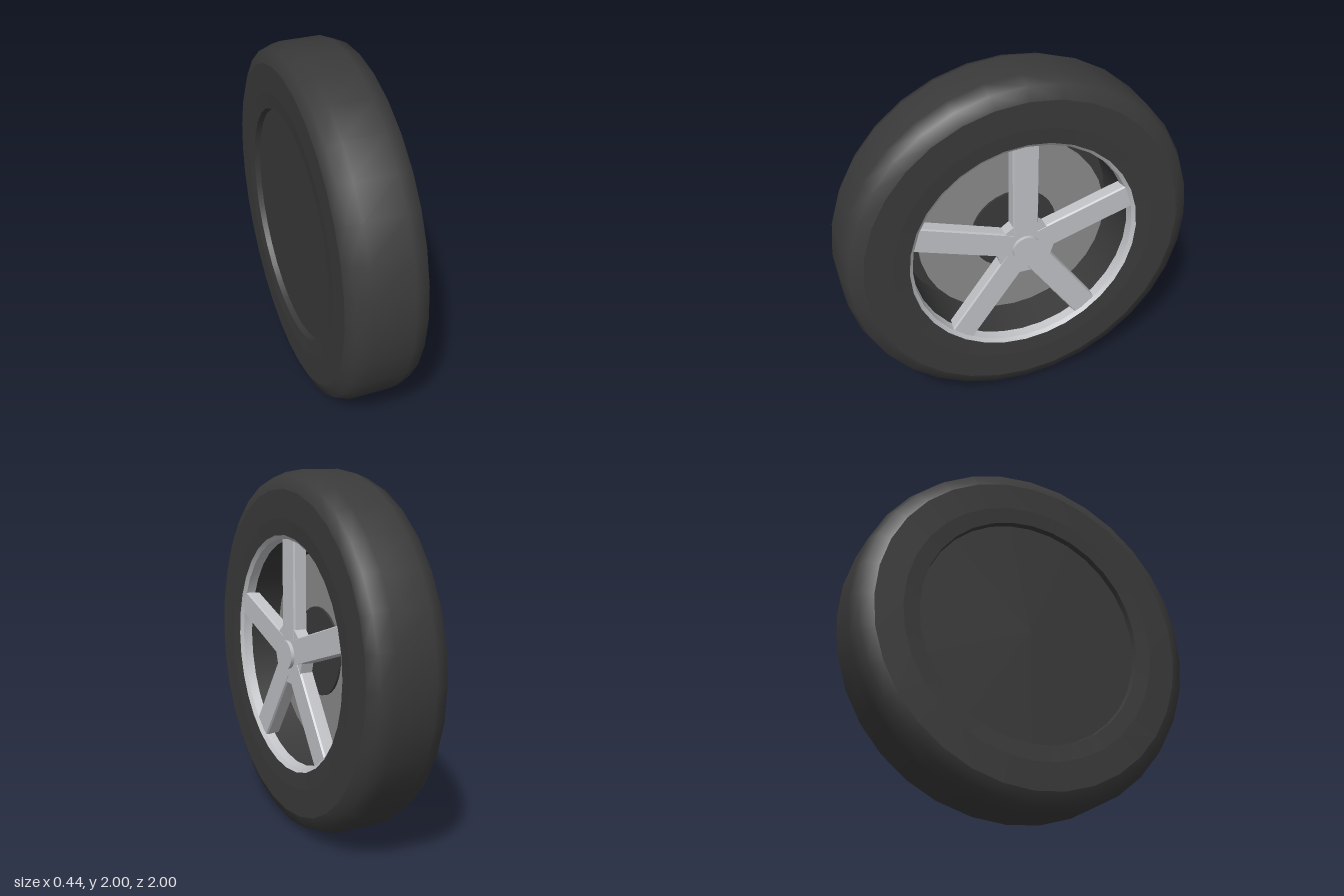
import * as THREE from 'three';
import { toCreasedNormals } from 'three/addons/utils/BufferGeometryUtils.js';

const SEGMENTS = 32;

export function createModel() {
  const wheel = new THREE.Group();
  wheel.name = 'wheel';
  wheel.position.y = 1;

  const rubber = new THREE.MeshStandardMaterial({ color: 0x3a3a3a });
  rubber.name = 'dark rubber';
  const alloy = new THREE.MeshStandardMaterial({ color: 0xc0c1c5 });
  alloy.name = 'silver alloy';
  const steel = new THREE.MeshStandardMaterial({ color: 0x8a8a8a });
  steel.name = 'grey steel';

  const add = (name, geometry, material, parent = wheel) => {
    const mesh = new THREE.Mesh(geometry, material);
    mesh.name = name;
    parent.add(mesh);
    return mesh;
  };

  // Revolve [x, radius] pairs about the axle (x axis)
  const revolve = (profile, crease = 0) => {
    const points = profile.map(([x, r]) => new THREE.Vector2(r, x));
    const geometry = new THREE.LatheGeometry(points, SEGMENTS).rotateZ(-Math.PI / 2);
    return crease ? toCreasedNormals(geometry, crease) : geometry;
  };

  // Solid disc along the axle between two x positions
  const disc = (x0, x1, radius, sides = SEGMENTS) =>
    new THREE.CylinderGeometry(radius, radius, x1 - x0, sides)
      .rotateZ(-Math.PI / 2).translate((x0 + x1) / 2, 0, 0);

  // Tyre: rounded tread, flat sidewalls and slightly sunken beads
  add('tread', revolve([
    [-0.22, 0.9], [-0.19, 0.97], [-0.11, 1], [0.11, 1], [0.19, 0.97], [0.22, 0.9],
  ]), rubber);
  add('outerSidewall', revolve([[0.22, 0.9], [0.22, 0.745]]), rubber);
  add('outerBead', revolve([[0.22, 0.745], [0.212, 0.655]]), rubber);
  add('innerSidewall', revolve([[-0.22, 0.745], [-0.22, 0.9]]), rubber);
  add('innerBead', revolve([[-0.212, 0.655], [-0.22, 0.745]]), rubber);

  // Rim lip, dark barrel and closed back
  add('rimLip', revolve([[0.212, 0.655], [0.195, 0.635], [0.145, 0.627]], 0.4), alloy);
  add('barrel', revolve([[0.145, 0.627], [-0.16, 0.627]]), rubber);
  add('backRecess', revolve([[-0.18, 0.65], [-0.212, 0.655]]), rubber);
  add('backPlate', disc(-0.18, -0.16, 0.65), rubber);

  // Brake disc on its drum
  add('brakeDisc', disc(-0.03, 0, 0.55), steel);
  add('brakeDrum', disc(-0.16, 0.012, 0.25), rubber);

  // Five chamfered spokes
  const spokeShape = new THREE.Shape([
    [0.12, -0.072], [0.185, -0.072], [0.195, -0.066],
    [0.195, 0.066], [0.185, 0.072], [0.12, 0.072],
  ].map(([x, z]) => new THREE.Vector2(x, z)));
  const spokeGeometry = new THREE.ExtrudeGeometry(spokeShape, { depth: 0.65, bevelEnabled: false })
    .rotateX(-Math.PI / 2);
  const spokes = new THREE.Group();
  spokes.name = 'spokes';
  wheel.add(spokes);
  for (let i = 0; i < 5; i++) {
    add('spoke', spokeGeometry, alloy, spokes).rotation.x = (i * 2 * Math.PI) / 5;
  }

  // Pentagonal hub, its corners under the spokes, and a round cap
  const hub = new THREE.CylinderGeometry(0.2, 0.2, 0.07, 5)
    .rotateZ(-Math.PI / 2).rotateX(-Math.PI / 2).translate(0.158, 0, 0);
  add('hub', toCreasedNormals(hub, 0.5), alloy);
  add('hubCap', disc(0.18, 0.215, 0.078), alloy);

  return wheel;
}
